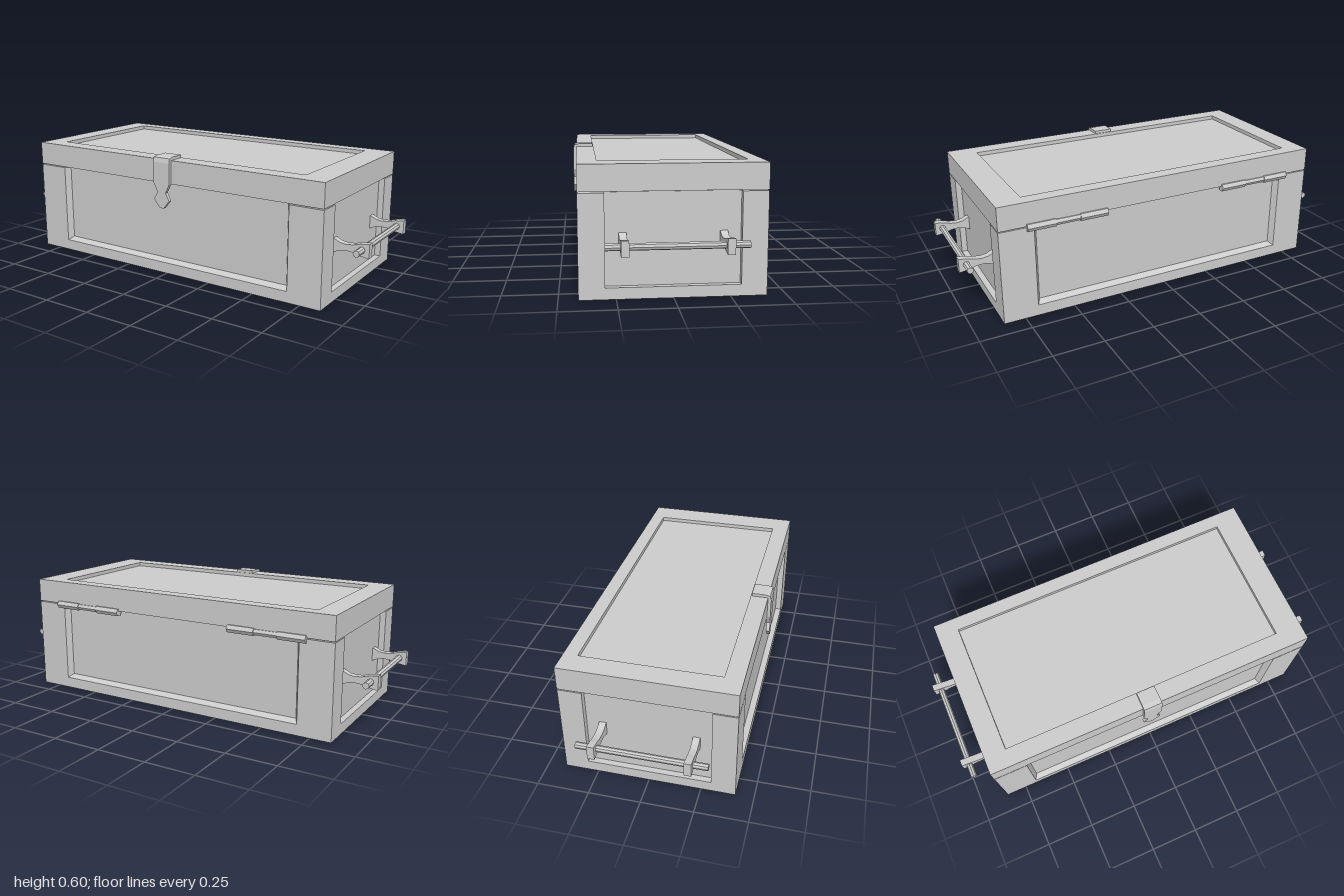
import * as THREE from 'three';

const material = new THREE.MeshStandardMaterial({ color: 0xcccccc, flatShading: true });

function add(parent, name, geometry) {
  const mesh = new THREE.Mesh(geometry, material);
  mesh.name = name;
  parent.add(mesh);
  return mesh;
}

// Box given by its minimum and maximum corners
function box(x0, x1, y0, y1, z0, z1) {
  return new THREE.BoxGeometry(x1 - x0, y1 - y0, z1 - z0)
    .translate((x0 + x1) / 2, (y0 + y1) / 2, (z0 + z1) / 2);
}

const toShape = (points) => new THREE.Shape(points.map(([a, b]) => new THREE.Vector2(a, b)));
const extrude = (shape, depth) => new THREE.ExtrudeGeometry(shape, { depth, bevelEnabled: false, curveSegments: 8 });

// Extrudes a (z, y) profile along x, centred on x = 0
function alongX(points, width) {
  return extrude(toShape(points.map(([z, y]) => [-z, y])), width)
    .rotateY(Math.PI / 2).translate(-width / 2, 0, 0);
}

function createBody() {
  const body = new THREE.Group();
  body.name = 'body';
  add(body, 'core', box(-0.825, 0.825, 0, 0.465, -0.383, 0.383));

  // Corner posts with sloped inner edges on the long sides
  const post = [[0.667, 0.382], [0.685, 0.413], [0.855, 0.413], [0.855, 0.298], [0.824, 0.298], [0.824, 0.382]];
  for (const sx of [-1, 1]) {
    for (const sz of [-1, 1]) {
      const outline = post.map(([x, z]) => [x * sx, -z * sz]);
      add(body, 'cornerPost', extrude(toShape(outline), 0.465).rotateX(-Math.PI / 2));
    }
    const rail = sx > 0 ? box(0.824, 0.855, 0, 0.052, -0.298, 0.298) : box(-0.855, -0.824, 0, 0.052, -0.298, 0.298);
    add(body, 'sideBottomRail', rail);
    const profile = [[0.382, 0], [0.413, 0], [0.413, 0.055], [0.382, 0.072]].map(([z, y]) => [z * sx, y]);
    add(body, sx > 0 ? 'frontBottomRail' : 'backBottomRail', alongX(profile, 1.37));
  }
  return body;
}

function createLid() {
  const lid = new THREE.Group();
  lid.name = 'lid';
  add(lid, 'lidSlab', box(-0.855, 0.855, 0.47, 0.568, -0.414, 0.413));

  // Raised rim around the sunken top panel
  const rim = toShape([[-0.855, -0.413], [0.855, -0.413], [0.855, 0.414], [-0.855, 0.414]]);
  rim.holes.push(toShape([[-0.745, -0.325], [-0.745, 0.345], [0.72, 0.345], [0.72, -0.325]]));
  add(lid, 'lidRim', extrude(rim, 0.02).rotateX(-Math.PI / 2).translate(0, 0.568, 0));
  return lid;
}

function createLatch() {
  const latch = new THREE.Group();
  latch.name = 'latch';
  // Strap bent over the lid edge
  const strap = [[0.33, 0.586], [0.33, 0.603], [0.4, 0.603], [0.424, 0.598], [0.43, 0.575],
    [0.43, 0.47], [0.412, 0.47], [0.412, 0.586]];
  add(latch, 'strap', alongX(strap, 0.096));
  // Waisted tongue with a blunt point
  const half = [[0.048, 0.47], [0.025, 0.425], [0.046, 0.386], [0.012, 0.345]];
  const outline = [...half, ...half.slice().reverse().map(([x, y]) => [-x, y])];
  add(latch, 'tongue', extrude(toShape(outline), 0.018).translate(0, 0, 0.412));
  latch.position.x = -0.012;
  return latch;
}

function createHinge(x) {
  const hinge = new THREE.Group();
  hinge.name = 'hinge';
  // Three knuckles, the middle one slimmer
  for (const [x0, x1, r] of [[-0.2, -0.06, 0.021], [-0.06, 0.06, 0.016], [0.06, 0.2, 0.021]]) {
    const knuckle = new THREE.CylinderGeometry(r, r, x1 - x0, 6)
      .rotateZ(Math.PI / 2).translate((x0 + x1) / 2, 0.464, -0.411);
    add(hinge, 'knuckle', knuckle);
  }
  add(hinge, 'leaf', box(-0.2, 0.2, 0.463, 0.474, -0.41, -0.38));
  hinge.position.x = x;
  return hinge;
}

function createHandle(side) {
  const handle = new THREE.Group();
  handle.name = side > 0 ? 'leftHandle' : 'rightHandle';

  // Brackets: flared at the wall and at the outer end
  const top = [[0.82, 0.29], [0.835, 0.285], [0.858, 0.274], [0.885, 0.27], [0.92, 0.273], [0.955, 0.283], [1, 0.29]];
  const outline = [...top, ...top.slice().reverse().map(([x, y]) => [x, 0.51 - y])];
  for (const z of [-0.222, 0.22]) {
    add(handle, 'bracket', extrude(toShape(outline), 0.034).translate(0, 0, z - 0.017));
  }
  add(handle, 'bar', new THREE.CylinderGeometry(0.016, 0.016, 0.61, 8)
    .rotateX(Math.PI / 2).translate(0.964, 0.256, -0.003));
  if (side < 0) {
    handle.rotation.y = Math.PI;
  }
  return handle;
}

export function createModel() {
  const chest = new THREE.Group();
  chest.name = 'chest';
  chest.add(createBody(), createLid(), createLatch());
  for (const side of [-1, 1]) {
    chest.add(createHinge(side * 0.52), createHandle(side));
  }
  return chest;
}
